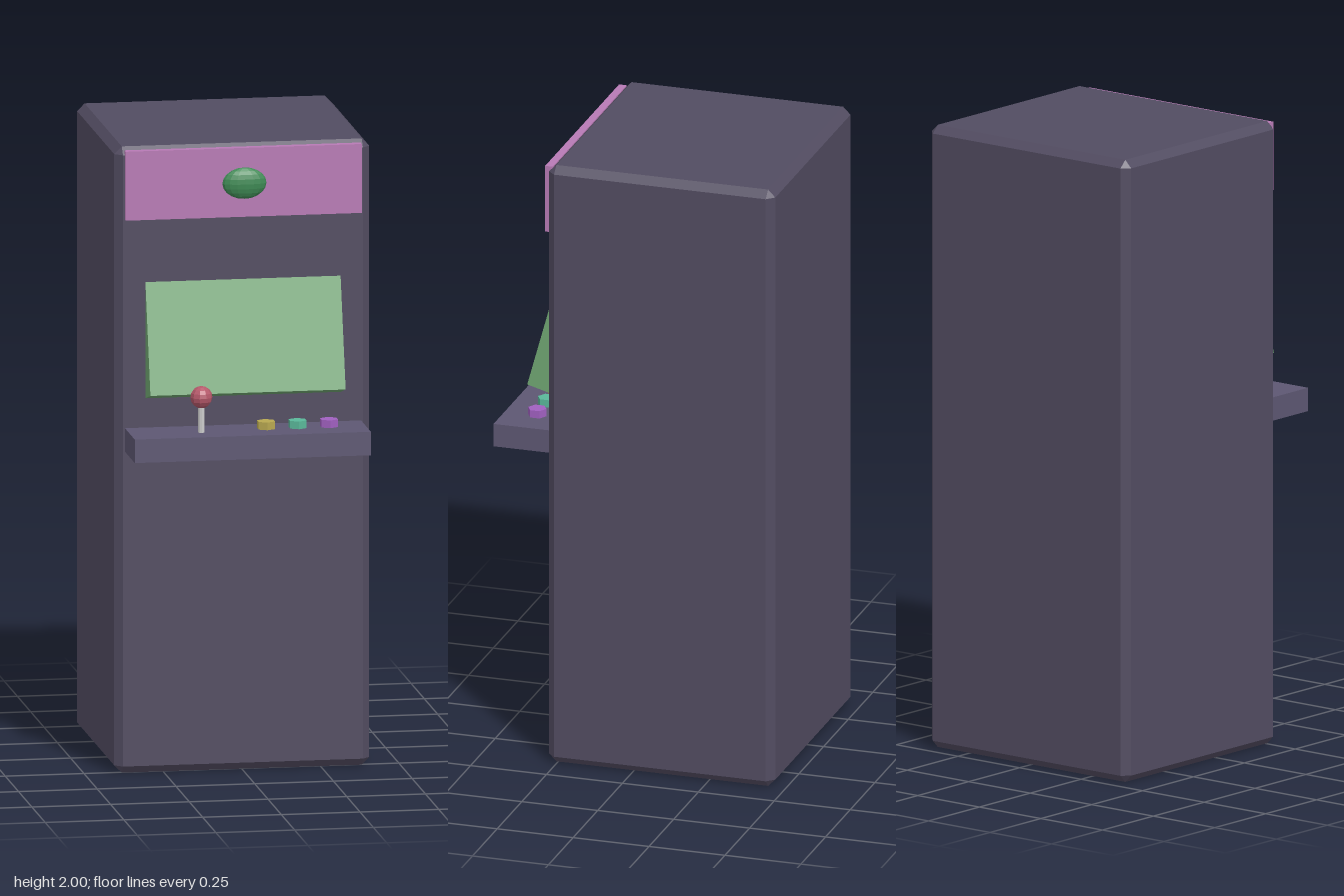
import * as THREE from 'three';
import { ConvexGeometry } from 'three/addons/geometries/ConvexGeometry.js';

// Box with every edge cut at 45 degrees
function chamferedBox(w, h, d, c) {
  const [x, y, z] = [w / 2, h / 2, d / 2];
  const points = [];
  for (const sx of [-1, 1]) for (const sy of [-1, 1]) for (const sz of [-1, 1]) {
    points.push(
      new THREE.Vector3(sx * x, sy * (y - c), sz * (z - c)),
      new THREE.Vector3(sx * (x - c), sy * y, sz * (z - c)),
      new THREE.Vector3(sx * (x - c), sy * (y - c), sz * z)
    );
  }
  return new ConvexGeometry(points);
}

export function createModel() {
  const model = new THREE.Group();
  model.name = 'arcadeCabinet';

  function add(name, geometry, color, x, y, z) {
    const material = new THREE.MeshStandardMaterial({ color, flatShading: true });
    const mesh = new THREE.Mesh(geometry, material);
    mesh.name = name;
    mesh.position.set(x, y, z);
    model.add(mesh);
    return mesh;
  }

  // Cabinet body
  add('cabinet', chamferedBox(0.81, 2, 0.745, 0.024), 0x524c61, 0, 1, -0.0925);

  // Header panel with an oval badge
  add('marquee', new THREE.BoxGeometry(0.75, 0.22, 0.025), 0xb87ab5, 0, 1.88, 0.2825);
  const badge = add('badge', new THREE.SphereGeometry(1, 16, 10), 0x3f8a55, 0, 1.88, 0.307);
  badge.scale.set(0.07, 0.05, 0.025);

  // Screen block tilted back into the cabinet, pivoting on its lower front edge
  const screenBlock = new THREE.BoxGeometry(0.62, 0.46, 0.16).translate(0, 0.23, -0.08);
  const screen = add('screen', screenBlock, 0x70a672, 0, 1.224, 0.375);
  screen.rotation.x = -THREE.MathUtils.degToRad(15.4);

  // Control shelf
  add('controlPanel', new THREE.BoxGeometry(0.75, 0.075, 0.215), 0x5d5772, 0, 1.067, 0.3575);

  // Joystick
  add('joystickShaft', new THREE.CylinderGeometry(0.01, 0.01, 0.11, 8), 0xcccccc, -0.15, 1.15, 0.385);
  add('joystickBall', new THREE.SphereGeometry(0.035, 10, 8), 0xb5586a, -0.15, 1.217, 0.385);

  // Row of hexagonal buttons
  [0xb8a850, 0x5ab89a, 0xa060c0].forEach((color, i) => {
    add('button' + (i + 1), new THREE.CylinderGeometry(0.03, 0.03, 0.03, 6), color, 0.06 + i * 0.1, 1.114, 0.358);
  });

  return model;
}
